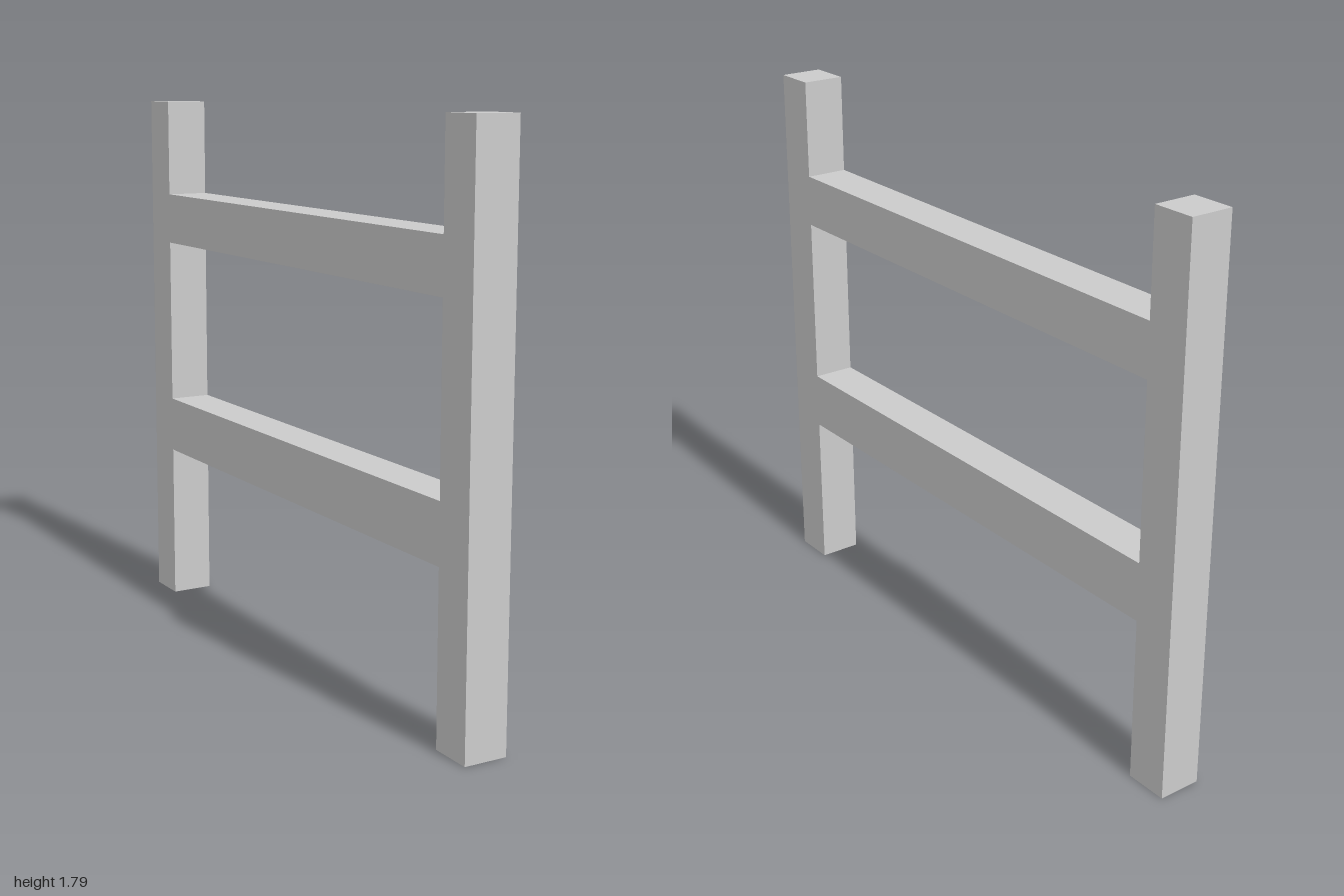
import * as THREE from 'three';

const HEIGHT = 1.786;
const HALF_LENGTH = 1;
const POST = 0.141; // square post section, also the rail thickness
const INNER = HALF_LENGTH - POST;
const LOWER_RAIL = [0.538, 0.727]; // bottom and top heights
const UPPER_RAIL = [1.292, 1.463];

const points = (list) => list.map(([x, y]) => new THREE.Vector2(x, y));

export function createModel() {
  const group = new THREE.Group();
  group.name = 'fencePanel';

  // One half of the outline: post foot, lower rail underside, upper rail top
  const half = [
    [INNER, UPPER_RAIL[1]], [INNER, HEIGHT], [HALF_LENGTH, HEIGHT],
    [HALF_LENGTH, 0], [INNER, 0], [INNER, LOWER_RAIL[0]],
  ];
  const mirrored = half.map(([x, y]) => [-x, y]).reverse();
  const outline = new THREE.Shape(points([...half, ...mirrored]));

  // Opening between the two rails
  outline.holes.push(new THREE.Path(points([
    [-INNER, LOWER_RAIL[1]], [INNER, LOWER_RAIL[1]],
    [INNER, UPPER_RAIL[0]], [-INNER, UPPER_RAIL[0]],
  ])));

  // Posts and flush rails as one solid frame running along z
  const geometry = new THREE.ExtrudeGeometry(outline, { depth: POST, bevelEnabled: false });
  geometry.translate(0, 0, -POST / 2);
  geometry.rotateY(Math.PI / 2);

  const frame = new THREE.Mesh(
    geometry,
    new THREE.MeshStandardMaterial({ color: 0xcccccc, flatShading: true }),
  );
  frame.name = 'postsAndRails';
  group.add(frame);
  return group;
}
